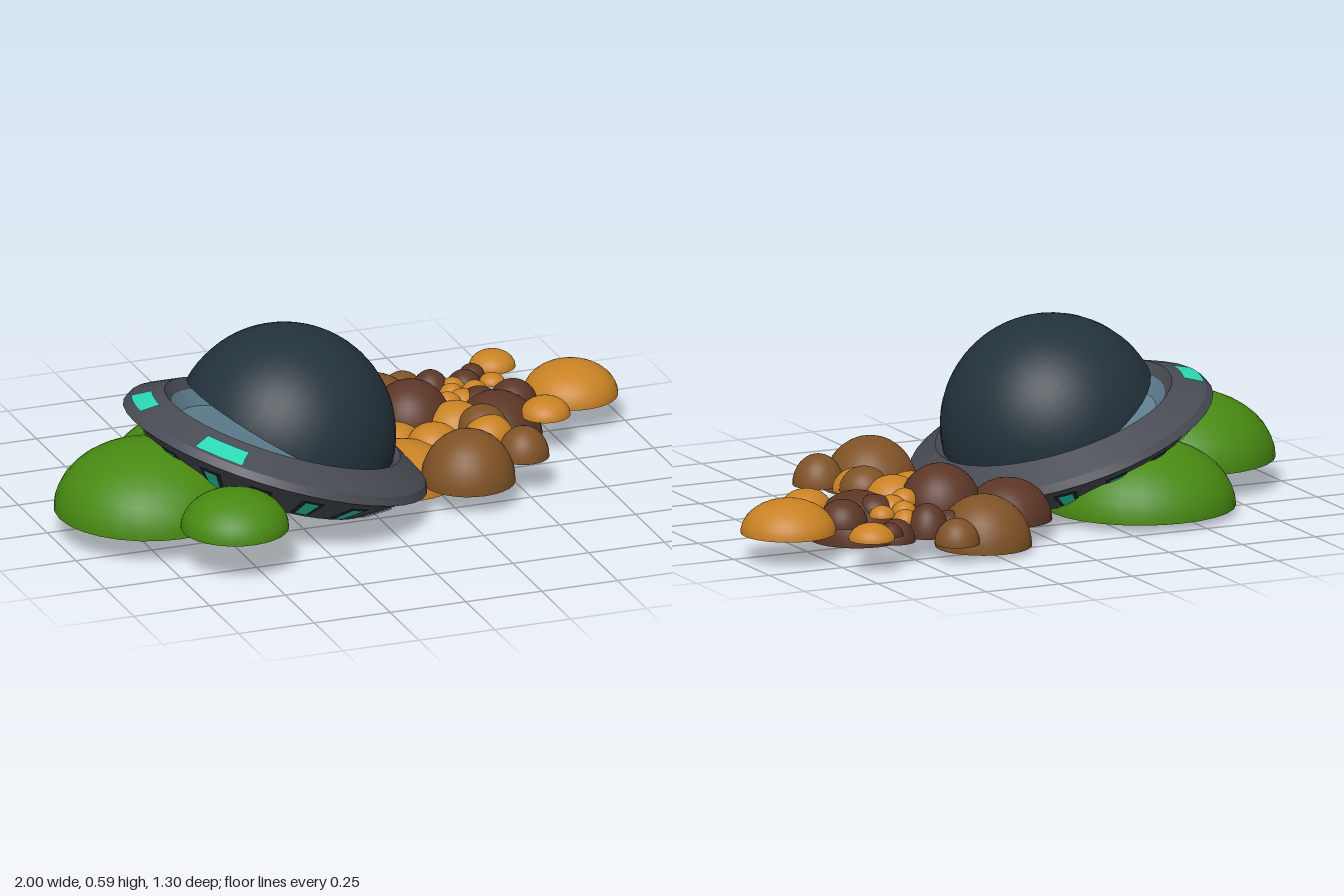
import * as THREE from 'three';
import { toCreasedNormals } from 'three/addons/utils/BufferGeometryUtils.js';

const mat = (name, color) => {
  const m = new THREE.MeshStandardMaterial({ color, side: THREE.DoubleSide });
  m.name = name;
  return m;
};

export function createModel() {
  const hullGrey = mat('hull grey', 0x484b53);
  const glassDark = mat('dark canopy', 0x23323c);
  const liningBlue = mat('lining blue', 0x5f7f90);
  const glowTeal = mat('glow teal', 0x2cd8b4);
  const frameDark = mat('window frame dark', 0x25272c);
  const bushGreen = mat('bush green', 0x488a12);
  const orange = mat('orange puff', 0xc98224);
  const brown = mat('brown puff', 0x7f5226);
  const darkBrown = mat('dark brown puff', 0x5c3626);

  const model = new THREE.Group();
  model.name = 'crashedSaucer';

  const add = (parent, name, geometry, material) => {
    const mesh = new THREE.Mesh(geometry, material);
    mesh.name = name;
    parent.add(mesh);
    return mesh;
  };

  // Surface of revolution, whole or as a patch centred on an angle
  const lathe = (points, segments = 40, angle = Math.PI, sweep = Math.PI * 2) =>
    toCreasedNormals(new THREE.LatheGeometry(
      points.map(([r, y]) => new THREE.Vector2(r, y)), segments, angle - sweep / 2, sweep), 0.4);

  // Tilted saucer
  const saucer = new THREE.Group();
  saucer.name = 'saucer';
  saucer.position.set(-0.27, 0.21, 0.057);
  saucer.rotation.z = -0.309;
  model.add(saucer);

  add(saucer, 'hull', lathe([
    [0.27, -0.095], [0.27, -0.11], [0.33, -0.11], [0.45, -0.02], [0.49, 0.0],
    [0.477, 0.025], [0.38, 0.078], [0.35, 0.05],
  ]), hullGrey);
  add(saucer, 'cockpitLining', lathe([[0.35, 0.05], [0.31, 0.01], [0, 0.0]]), liningBlue);
  add(saucer, 'bottomLight', lathe([[0, -0.095], [0.27, -0.095]]), glowTeal);

  // Ring of framed windows on the underside cone
  for (let i = 0; i < 16; i++) {
    const angle = (-4 + i * 22.5) * Math.PI / 180;
    add(saucer, 'windowFrame', lathe([[0.347, -0.101], [0.442, -0.03]], 2, angle, 0.17), frameDark);
    add(saucer, 'window', lathe([[0.356, -0.098], [0.436, -0.038]], 2, angle, 0.11), glowTeal);
  }

  // Two lamps on top of the rim
  for (const angle of [Math.atan2(-0.437, -0.09), Math.atan2(-0.327, 0.315)]) {
    add(saucer, 'rimLamp', lathe([[0.472, 0.031], [0.415, 0.063]], 5, angle, 0.35), glowTeal);
  }

  // Half-open canopy, tipped further than the hull
  const canopy = add(model, 'canopy',
    new THREE.SphereGeometry(0.346, 40, 18, 0, Math.PI * 2, 0, Math.PI / 2), glassDark);
  canopy.position.set(-0.24, 0.247, 0.055);
  canopy.rotation.z = -0.55;

  // Open half spheres: x, base y, z, radius, height
  const hemisphere = new THREE.SphereGeometry(1, 28, 10, 0, Math.PI * 2, 0, Math.PI / 2);
  const puffs = (name, material, list) => {
    for (const [x, y, z, r, h] of list) {
      const mesh = add(model, name, hemisphere, material);
      mesh.position.set(x, y, z);
      mesh.scale.set(r, h, r);
    }
  };

  puffs('bush', bushGreen, [
    [-0.708, 0.09, 0.107, 0.292, 0.21],
    [-0.42, 0.027, -0.198, 0.295, 0.21],
    [-0.563, 0.14, 0.477, 0.168, 0.118],
  ]);

  puffs('orangePuff', orange, [
    [0.847, 0.09, -0.32, 0.148, 0.105],
    [0.69, 0.105, -0.585, 0.072, 0.052],
    [0.69, 0.115, -0.125, 0.078, 0.057],
    [0.16, 0.022, 0.03, 0.168, 0.13],
    [0.29, 0.11, -0.04, 0.08, 0.06],
    [0.455, 0.12, 0.0, 0.078, 0.07],
    [0.4, 0.1, -0.14, 0.095, 0.09],
    [0.2, 0.07, -0.13, 0.09, 0.08],
  ]);
  puffs('smallOrangePuff', orange, [
    [0.4, 0.1, -0.375, 0.04, 0.04], [0.47, 0.12, -0.36, 0.04, 0.04],
    [0.5, 0.11, -0.43, 0.04, 0.04], [0.55, 0.12, -0.37, 0.04, 0.035],
    [0.645, 0.1, -0.47, 0.04, 0.03], [0.48, 0.12, -0.29, 0.05, 0.045],
    [0.42, 0.13, -0.26, 0.045, 0.045],
  ]);

  puffs('brownPuff', brown, [
    [0.31, 0.072, 0.205, 0.147, 0.163],
    [0.508, 0.11, 0.165, 0.08, 0.096],
    [0.455, 0.13, -0.05, 0.078, 0.075],
    [0.25, 0.02, -0.468, 0.15, 0.16],
    [0.385, 0.057, -0.56, 0.07, 0.08],
  ]);

  puffs('darkBrownPuff', darkBrown, [
    [0.1, 0.06, -0.33, 0.138, 0.13],
    [0.29, 0.1, -0.245, 0.128, 0.137],
    [0.56, 0.022, -0.215, 0.147, 0.15],
    [0.65, 0.09, -0.3, 0.077, 0.08],
    [0.44, 0.07, -0.465, 0.068, 0.1],
    [0.365, 0.06, -0.46, 0.06, 0.08],
    [0.565, 0.07, -0.5, 0.06, 0.07],
    [0.605, 0.1, -0.54, 0.04, 0.04],
    [0.53, 0.12, -0.28, 0.06, 0.05],
  ]);

  return model;
}
